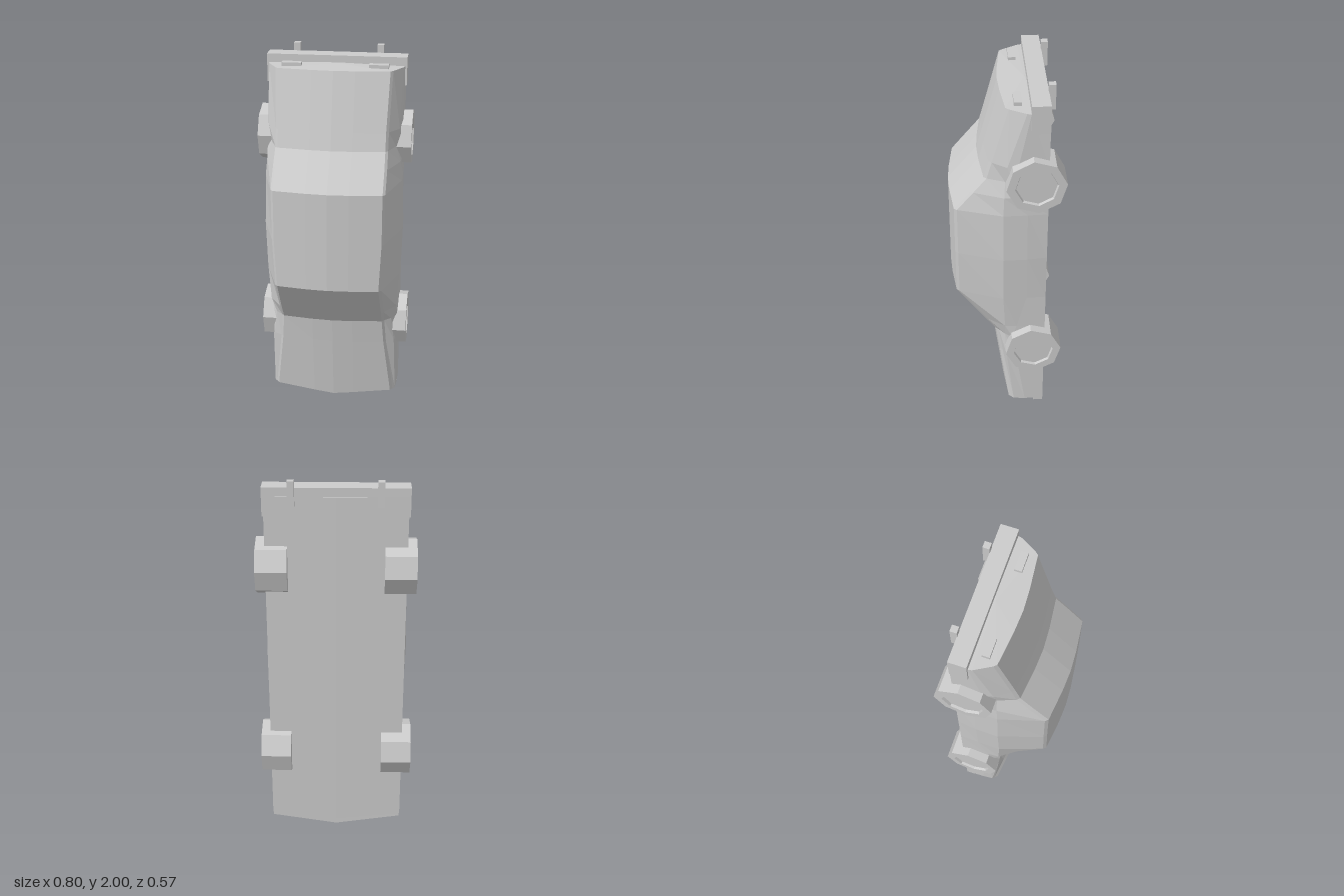
import * as THREE from 'three';

const mat = new THREE.MeshStandardMaterial({ color: 0xcccccc, flatShading: true });

// Body stations from nose to tail: y, top height, top edge x, belt x, belt z, lower side z
const STATIONS = [
  [0.07, 0.012, 0.32, 0.345, -0.04, -0.1],
  [0.40, 0.06, 0.28, 0.335, 0, -0.05],
  [0.54, 0.08, 0.27, 0.318, 0.01, -0.03],
  [0.62, 0.139, 0.27, 0.345, 0.01, -0.05],
  [0.82, 0.285, 0.265, 0.357, 0.02, -0.1],
  [1.08, 0.285, 0.277, 0.365, 0.02, -0.1],
  [1.35, 0.285, 0.277, 0.357, 0.02, -0.1],
  [1.45, 0.203, 0.277, 0.347, 0.015, -0.05],
  [1.53, 0.137, 0.275, 0.322, 0.01, -0.03],
  [1.62, 0.112, 0.275, 0.338, 0, -0.05],
  [1.915, 0.032, 0.285, 0.345, -0.09, -0.11],
];

function bodyGeometry() {
  const pos = [], idx = [];
  const n = 16;
  STATIONS.forEach(([y, top, xEdge, xBelt, zBelt, zLow], s) => {
    // one side from the crowned top to the sill, then mirrored
    const side = [
      [0.11, top - 0.006], [xEdge, top - 0.025], [xEdge + 0.013, top - 0.04],
      [xBelt, zBelt], [Math.max(0.35, xBelt - 0.002), zLow], [0.352, -0.2], [0.12, -0.203],
    ];
    const mirrored = side.map(([x, z]) => [-x, z]).reverse();
    // the nose is swept forward towards the centre line
    const sweep = s === 0 ? 0.035 : 0;
    for (const [x, z] of [[0, top], ...side, [0, -0.204], ...mirrored]) {
      pos.push(x, y - sweep * (1 - Math.abs(x) / 0.352), z);
    }
  });
  const last = (STATIONS.length - 1) * n;
  for (let s = 0; s < last; s += n) {
    for (let i = 0; i < n; i++) {
      const a = s + i, b = s + (i + 1) % n;
      idx.push(a, b, a + n, b, b + n, a + n);
    }
  }
  // nose and tail panels, closed by fans
  pos.push(0, 0.065, -0.1, 0, 1.925, -0.1);
  const nose = last + n, tail = nose + 1;
  for (let i = 0; i < n; i++) {
    const j = (i + 1) % n;
    idx.push(nose, j, i, tail, last + i, last + j);
  }
  const g = new THREE.BufferGeometry();
  g.setAttribute('position', new THREE.Float32BufferAttribute(pos, 3));
  g.setIndex(idx);
  g.computeVertexNormals();
  return g;
}

const points = (list) => list.map(([x, y]) => new THREE.Vector2(x, y));

export function createModel() {
  const group = new THREE.Group();
  const add = (name, geo, x = 0, y = 0, z = 0) => {
    const m = new THREE.Mesh(geo, mat);
    m.name = name;
    m.position.set(x, y, z);
    group.add(m);
    return m;
  };
  const box = (name, w, h, d, x, y, z) => add(name, new THREE.BoxGeometry(w, h, d), x, y, z);

  add('body', bodyGeometry());

  // Front bumper, pointed at the middle
  const vShape = new THREE.Shape(points([[-0.35, 0.055], [0, 0], [0.35, 0.055], [0.35, 0.1], [-0.35, 0.1]]));
  add('frontBumper', new THREE.ExtrudeGeometry(vShape, { depth: 0.05, bevelEnabled: false }), 0, 0, -0.2);

  // Rear bumper, with ends wrapping round the sides
  box('rearBumper', 0.72, 0.05, 0.09, 0, 1.935, -0.155);

  // Octagonal wheel with a recessed hub
  const wheel = new THREE.LatheGeometry(
    points([[0, 0.24], [0.147, 0.24], [0.147, 0.398], [0.105, 0.398], [0.1, 0.385], [0, 0.385]]), 8, Math.PI / 30);

  for (const side of [-1, 1]) {
    box('rearBumperEnd', 0.02, 0.1, 0.09, side * 0.35, 1.865, -0.155);
    box('tailLight', 0.1, 0.02, 0.038, side * 0.222, 1.925, -0.052);
    box('exhaustPipe', 0.034, 0.13, 0.034, side * 0.217, 1.935, -0.215);
    box('headlight', 0.1, 0.02, 0.035, side * 0.22, 0.062, -0.075).rotation.z = side * 0.1;
    for (const [name, y] of [['frontWheel', 0.48], ['rearWheel', 1.54]]) {
      add(name, wheel, 0, y, -0.138).rotation.z = -side * Math.PI / 2;
    }
  }
  return group;
}
